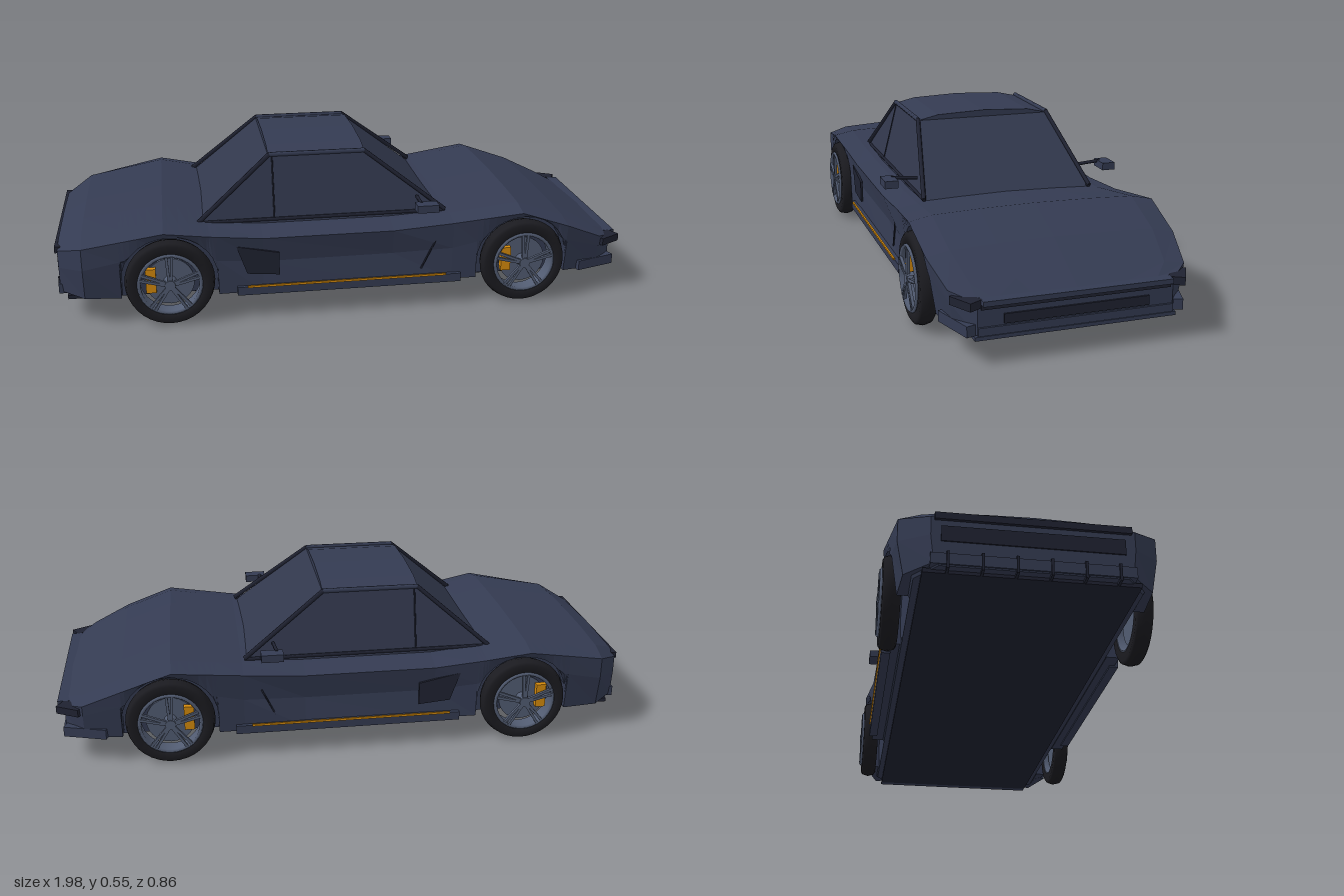
import * as THREE from 'three';

const mat = (name, color) => {
  const m = new THREE.MeshStandardMaterial({ color });
  m.name = name;
  return m;
};

export function createModel() {
  const car = new THREE.Group();
  car.name = 'sportsCar';
  const paint = mat('navyPaint', 0x343b52);
  const glass = mat('tintedGlass', 0x31374c);
  const trim = mat('darkTrim', 0x1f2231);
  const rubber = mat('tyreRubber', 0x1b1b20);
  const alloy = mat('alloy', 0x525c72);
  const orange = mat('orangeAccent', 0xd48a0c);

  const add = (name, geo, m, x = 0, y = 0, z = 0, parent = car) => {
    const mesh = new THREE.Mesh(geo, m);
    mesh.name = name;
    mesh.position.set(x, y, z);
    parent.add(mesh);
    return mesh;
  };
  const box = (name, w, h, d, m, x, y, z, parent) =>
    add(name, new THREE.BoxGeometry(w, h, d), m, x, y, z, parent);
  const rod = (name, a, b, r, m) => {
    const p = new THREE.Vector3(...a), q = new THREE.Vector3(...b);
    const mesh = add(name, new THREE.CylinderGeometry(r, r, p.distanceTo(q), 6), m);
    mesh.position.copy(p).add(q).multiplyScalar(0.5);
    mesh.quaternion.setFromUnitVectors(new THREE.Vector3(0, 1, 0), q.sub(p).normalize());
    return mesh;
  };

  // Body shell: x, centre top, shoulder y, shoulder z, waist y, waist z, sill y, sill z
  const keys = [
    [-0.985, 0.272, 0.25, 0.30, 0.19, 0.30, 0.10, 0.29],
    [-0.90, 0.320, 0.285, 0.39, 0.21, 0.39, 0.10, 0.37],
    [-0.63, 0.360, 0.335, 0.418, 0.27, 0.41, 0.095, 0.39],
    [-0.48, 0.330, 0.310, 0.402, 0.22, 0.39, 0.095, 0.39],
    [-0.30, 0.318, 0.290, 0.394, 0.20, 0.376, 0.095, 0.388],
    [0.15, 0.318, 0.290, 0.394, 0.20, 0.374, 0.095, 0.388],
    [0.36, 0.325, 0.305, 0.396, 0.21, 0.386, 0.095, 0.388],
    [0.60, 0.360, 0.335, 0.416, 0.27, 0.405, 0.095, 0.39],
    [0.77, 0.300, 0.275, 0.408, 0.22, 0.40, 0.095, 0.38],
    [0.90, 0.236, 0.218, 0.38, 0.18, 0.375, 0.095, 0.36],
    [0.965, 0.204, 0.195, 0.31, 0.16, 0.31, 0.095, 0.31],
  ];
  const axles = [-0.615, 0.61], axleY = 0.155, archR = 0.162;
  const xs = new Set(keys.map(k => k[0]));
  for (const c of axles) {
    for (const s of [-1, 1]) xs.add(c + s * (archR + 0.001));
    for (let i = 0; i <= 14; i++) xs.add(c + archR * Math.cos(Math.PI * i / 14));
  }
  const sections = [...xs].sort((a, b) => a - b).map(x => {
    const i = Math.min(keys.length - 2, Math.max(0, keys.findIndex(k => k[0] > x) - 1));
    const k0 = x >= keys.at(-1)[0] ? keys.length - 2 : i;
    const t = (x - keys[k0][0]) / (keys[k0 + 1][0] - keys[k0][0]);
    const [, top, sy, sz, wy, wz, ly, lz] =
      keys[k0].map((v, j) => v + (keys[k0 + 1][j] - v) * t);
    // the lower edge rises over each wheel
    let edge = ly;
    for (const c of axles) {
      const d = Math.abs(x - c);
      if (d <= archR + 1e-6) edge = axleY + Math.sqrt(Math.max(0, archR ** 2 - d * d));
    }
    const inner = Math.min(0.345, lz - 0.01);
    const half = [[top - 0.003, sz * 0.45], [top * 0.65 + sy * 0.35, sz * 0.82], [sy, sz],
      [Math.max(wy, edge + 0.002), wz], [edge, edge > wy ? wz : lz], [edge, inner], [0.09, inner - 0.005]];
    const ring = [[top, 0], ...half, ...half.slice().reverse().map(([y, z]) => [y, -z])];
    return ring.map(([y, z]) => [x, y, z]);
  });
  const pos = [];
  const n = sections[0].length;
  for (let i = 0; i < sections.length - 1; i++)
    for (let j = 0; j < n; j++) {
      const a = sections[i][j], b = sections[i][(j + 1) % n];
      const c = sections[i + 1][(j + 1) % n], d = sections[i + 1][j];
      pos.push(...a, ...b, ...c, ...a, ...c, ...d);
    }
  for (const [s, front] of [[sections[0], false], [sections.at(-1), true]])
    for (let j = 0; j < n; j++) {
      const a = s[j], b = s[(j + 1) % n], mid = [a[0], 0.15, 0];
      pos.push(...mid, ...(front ? a : b), ...(front ? b : a));
    }
  const shell = new THREE.BufferGeometry();
  shell.setAttribute('position', new THREE.Float32BufferAttribute(pos, 3));
  shell.computeVertexNormals();
  paint.side = THREE.DoubleSide;
  add('bodyShell', shell, paint);
  box('floorPan', 1.9, 0.014, 0.64, trim, -0.01, 0.087, 0);

  // Cabin: a box tapered towards the roof
  const cabin = new THREE.BoxGeometry(1, 1, 1).toNonIndexed();
  const cp = cabin.attributes.position;
  for (let i = 0; i < cp.count; i++) {
    const up = cp.getY(i) > 0, fore = cp.getX(i) > 0;
    cp.setXYZ(i, up ? (fore ? 0.07 : -0.26) : (fore ? 0.365 : -0.525), up ? 0.535 : 0.30,
      Math.sign(cp.getZ(i)) * (up ? 0.242 : 0.302));
  }
  cabin.computeVertexNormals();
  add('cabinGlass', cabin, glass);

  // Arched roof panel
  const arc = new THREE.Shape();
  [[-0.245, 0.533], [0.245, 0.533], [0.17, 0.55], [0, 0.557], [-0.17, 0.55]]
    .forEach(([u, v], i) => (i ? arc.lineTo(u, v) : arc.moveTo(u, v)));
  const roof = new THREE.ExtrudeGeometry(arc, { depth: 0.335, bevelEnabled: false });
  add('roof', roof.rotateY(Math.PI / 2), paint, -0.263);

  // Wheels
  const tyreProfile = [[0.106, -0.026], [0.136, -0.028], [0.145, -0.022], [0.151, 0],
    [0.145, 0.022], [0.136, 0.028], [0.106, 0.028], [0.104, 0], [0.106, -0.026]]
    .map(([r, z]) => new THREE.Vector2(r, z));
  const rimProfile = [[0.101, -0.026], [0.109, -0.026], [0.109, 0.03], [0.104, 0.036],
    [0.097, 0.03], [0.101, -0.026]].map(([r, z]) => new THREE.Vector2(r, z));
  for (const x of axles) for (const s of [1, -1]) {
    const wheel = new THREE.Group();
    wheel.name = 'wheel';
    wheel.position.set(x, axleY, s * 0.392);
    if (s < 0) wheel.rotation.y = Math.PI;
    car.add(wheel);
    add('tyre', new THREE.LatheGeometry(tyreProfile, 36).rotateX(Math.PI / 2), rubber, 0, 0, 0, wheel);
    add('rim', new THREE.LatheGeometry(rimProfile, 36).rotateX(Math.PI / 2), alloy, 0, 0, 0, wheel);
    add('brakeDisc', new THREE.CylinderGeometry(0.082, 0.082, 0.008, 28).rotateX(Math.PI / 2),
      alloy, 0, 0, -0.005, wheel);
    add('hub', new THREE.CylinderGeometry(0.018, 0.022, 0.04, 12).rotateX(Math.PI / 2),
      alloy, 0, 0, 0.02, wheel);
    box('caliper', 0.034, 0.085, 0.02, orange, -s * 0.063, 0.012, 0.01, wheel);
    for (let i = 0; i < 5; i++) {
      const a = Math.PI / 2 + i * Math.PI * 2 / 5;
      for (const o of [-0.11, 0.11]) {
        const spoke = box('spoke', 0.088, 0.009, 0.01, alloy,
          0.058 * Math.cos(a + o), 0.058 * Math.sin(a + o), 0.032, wheel);
        spoke.rotation.z = a + o * 0.6;
      }
    }
  }

  // Parts mirrored on both sides
  const vent = new THREE.Shape();
  [[-0.39, 0.265], [-0.355, 0.165], [-0.245, 0.155], [-0.245, 0.235]]
    .forEach(([u, v], i) => (i ? vent.lineTo(u, v) : vent.moveTo(u, v)));
  for (const s of [1, -1]) {
    rod('windscreenPillar', [0.35, 0.325, s * 0.3], [0.07, 0.537, s * 0.243], 0.008, trim);
    rod('rearPillar', [-0.51, 0.325, s * 0.3], [-0.26, 0.537, s * 0.243], 0.008, trim);
    rod('roofRail', [-0.262, 0.537, s * 0.243], [0.072, 0.537, s * 0.243], 0.008, paint);
    rod('windowSill', [-0.51, 0.322, s * 0.298], [0.35, 0.322, s * 0.298], 0.006, trim);
    rod('windowDivider', [-0.25, 0.325, s * 0.296], [-0.25, 0.535, s * 0.242], 0.003, trim);
    rod('doorSeam', [0.30, 0.245, s * 0.387], [0.25, 0.14, s * 0.384], 0.003, trim);
    rod('mirrorArm', [0.25, 0.375, s * 0.295], [0.245, 0.381, s * 0.385], 0.006, trim);
    box('mirror', 0.075, 0.026, 0.046, paint, 0.262, 0.371, s * 0.397);
    box('sideSkirt', 0.78, 0.03, 0.03, paint, 0.0, 0.104, s * 0.386);
    box('skirtStripe', 0.69, 0.007, 0.006, orange, -0.01, 0.121, s * 0.403);
    add('sideVent', new THREE.ExtrudeGeometry(vent, { depth: 0.008, bevelEnabled: false }),
      trim, 0, 0, s * 0.389 - 0.004);
    const lamp = box('headlamp', 0.085, 0.026, 0.05, trim, 0.94, 0.193, s * 0.337);
    lamp.rotation.y = s * 0.5;
    const winglet = box('frontWinglet', 0.15, 0.035, 0.03, paint, 0.895, 0.112, s * 0.352);
    winglet.rotation.y = s * 0.3;
  }

  // Nose
  box('noseBar', 0.04, 0.016, 0.6, paint, 0.968, 0.198, 0);
  box('noseSlot', 0.006, 0.014, 0.6, trim, 0.968, 0.181, 0);
  box('frontGrille', 0.008, 0.03, 0.46, trim, 0.967, 0.14, 0);
  box('frontBumper', 0.07, 0.025, 0.62, paint, 0.937, 0.107, 0);
  box('frontSplitter', 0.12, 0.012, 0.64, paint, 0.912, 0.087, 0);

  // Tail
  box('tailLip', 0.02, 0.022, 0.58, trim, -0.985, 0.25, 0);
  box('tailPanel', 0.006, 0.05, 0.54, trim, -0.986, 0.195, 0);
  box('rearBumper', 0.12, 0.035, 0.6, paint, -0.93, 0.112, 0);
  for (let i = 0; i < 6; i++)
    box('diffuserFin', 0.075, 0.055, 0.008, trim, -0.957, 0.108, -0.25 + i * 0.1);

  return car;
}
